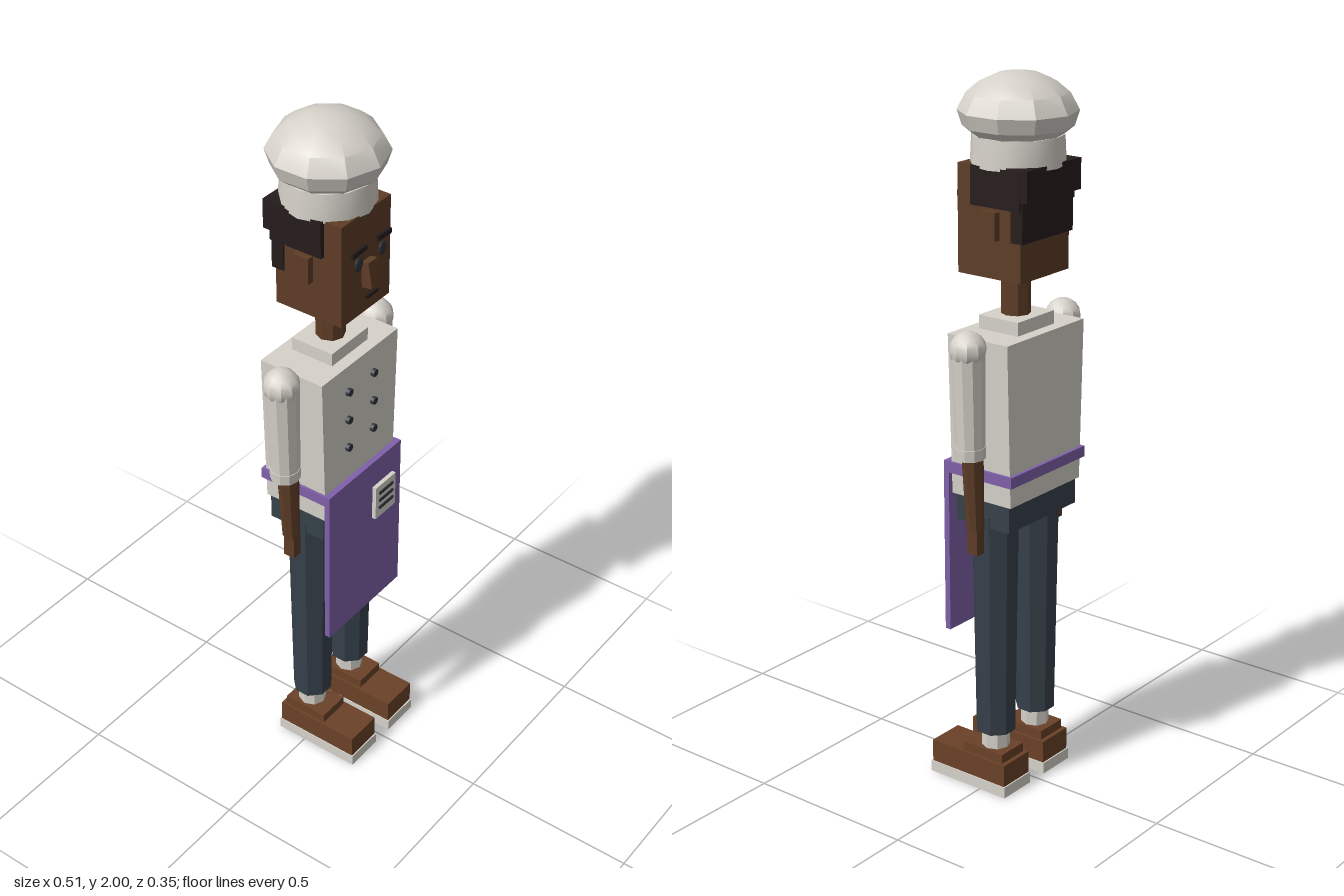
import * as THREE from 'three';
import { toCreasedNormals } from 'three/addons/utils/BufferGeometryUtils.js';

const mat = (name, color) => {
  const m = new THREE.MeshStandardMaterial({ color });
  m.name = name;
  return m;
};

export function createModel() {
  const model = new THREE.Group();
  model.name = 'chef';

  const white = mat('white cloth', 0xd6d2ca);
  const purple = mat('purple apron', 0x8060aa);
  const skin = mat('brown skin', 0x5e3d26);
  const leather = mat('brown leather', 0x6a4127);
  const navy = mat('slate trousers', 0x36414a);
  const black = mat('black hair', 0x261d1c);
  const dark = mat('dark grey', 0x2d3238);

  const add = (name, geometry, material, parent = model) => {
    const mesh = new THREE.Mesh(geometry, material);
    mesh.name = name;
    parent.add(mesh);
    return mesh;
  };
  // Box given by its limits on each axis
  const box = (name, material, [x0, x1], [y0, y1], [z0, z1], parent) => {
    const mesh = add(name, new THREE.BoxGeometry(x1 - x0, y1 - y0, z1 - z0), material, parent);
    mesh.position.set((x0 + x1) / 2, (y0 + y1) / 2, (z0 + z1) / 2);
    return mesh;
  };
  // Faceted, tapered limb between two points
  const limb = (name, material, a, b, ra, rb, sides, parent) => {
    const top = new THREE.Vector3(...a), bottom = new THREE.Vector3(...b);
    const dir = top.clone().sub(bottom);
    const geo = toCreasedNormals(new THREE.CylinderGeometry(ra, rb, dir.length(), sides), 0.55);
    const mesh = add(name, geo, material, parent);
    mesh.position.copy(top).add(bottom).multiplyScalar(0.5);
    mesh.quaternion.setFromUnitVectors(new THREE.Vector3(0, 1, 0), dir.normalize());
    return mesh;
  };

  // Hat: puffed crown over a band
  const crown = [[0, 1.832], [0.11, 1.832], [0.145, 1.86], [0.158, 1.9], [0.134, 1.945],
    [0.1, 1.973], [0.055, 1.993], [0, 2]].map(([r, y]) => new THREE.Vector2(r, y));
  add('hatCrown', toCreasedNormals(new THREE.LatheGeometry(crown, 10), 0.5), white).position.z = -0.02;
  limb('hatBand', white, [0, 1.84, -0.02], [0, 1.762, -0.02], 0.122, 0.126, 12);

  // Head, ears and neck
  box('head', skin, [-0.103, 0.103], [1.475, 1.766], [-0.108, 0.098]);
  limb('neck', skin, [0, 1.48, -0.013], [0, 1.33, -0.013], 0.04, 0.04, 8);
  for (const s of [-1, 1]) {
    box('ear', skin, [s * 0.112 - 0.012, s * 0.112 + 0.012], [1.58, 1.655], [-0.04, 0.01]);
    box('sideHair', black, [s * 0.109 - 0.008, s * 0.109 + 0.008], [1.665, 1.768], [-0.115, 0.045]);
  }
  // Hair at the back of the head
  box('upperBackHair', black, [-0.115, 0.115], [1.69, 1.773], [-0.137, -0.07]);
  box('lowerBackHair', black, [-0.108, 0.108], [1.58, 1.7], [-0.117, -0.08]);

  // Face, standing a little proud of the head
  for (const s of [-1, 1]) {
    const brow = box('eyebrow', black, [s * 0.052 - 0.029, s * 0.052 + 0.029], [1.673, 1.688], [0.109, 0.118]);
    brow.rotation.z = -s * 0.04;
    const eye = add('eye', new THREE.SphereGeometry(0.02, 12, 8), dark);
    eye.scale.set(0.8, 1, 0.25);
    eye.position.set(s * 0.05, 1.641, 0.112);
  }
  const nose = box('nose', skin, [-0.019, 0.019], [1.557, 1.63], [0.095, 0.125]);
  nose.rotation.x = -0.15;
  box('mouth', black, [-0.024, 0.024], [1.529, 1.539], [0.112, 0.12]);

  // Jacket, slightly narrower at the hem
  box('collar', white, [-0.078, 0.078], [1.32, 1.362], [-0.08, 0.05]);
  const torso = box('jacket', white, [-0.166, 0.166], [0.875, 1.325], [-0.114, 0.084]);
  const p = torso.geometry.attributes.position;
  for (let i = 0; i < p.count; i++) if (p.getY(i) < 0) p.setX(i, p.getX(i) * 0.92);
  torso.geometry.computeVertexNormals();
  for (const x of [-0.055, 0.055]) {
    for (const y of [1.067, 1.157, 1.247]) {
      const button = add('button', new THREE.CylinderGeometry(0.011, 0.011, 0.014, 8), dark);
      button.rotation.x = Math.PI / 2;
      button.position.set(x, y, 0.088);
    }
  }

  // Apron with its waist strap
  box('apron', purple, [-0.163, 0.163], [0.473, 0.967], [0.088, 0.105]);
  box('apronStrapBack', purple, [-0.163, 0.163], [0.935, 0.966], [-0.124, -0.112]);
  for (const s of [-1, 1]) {
    box('apronStrapSide', purple, [s * 0.157 - 0.006, s * 0.157 + 0.006], [0.935, 0.966], [-0.12, 0.09]);
  }
  // Badge with plain stripes
  box('badge', white, [0.032, 0.124], [0.777, 0.884], [0.104, 0.117]);
  for (const y of [0.81, 0.835, 0.86]) box('badgeStripe', dark, [0.046, 0.11], [y - 0.004, y + 0.004], [0.115, 0.121]);

  // Trousers
  box('hips', navy, [-0.148, 0.148], [0.8, 0.876], [-0.105, 0.074]);

  for (const s of [-1, 1]) {
    // Leg, sock and shoe
    const leg = new THREE.Group();
    leg.name = s > 0 ? 'leftLeg' : 'rightLeg';
    leg.position.x = s * 0.09;
    model.add(leg);
    limb('trouserLeg', navy, [0, 0.83, -0.013], [0, 0.175, -0.013], 0.066, 0.056, 8, leg).rotation.y = Math.PI / 8;
    limb('sock', white, [0, 0.19, -0.013], [0, 0.11, -0.013], 0.04, 0.04, 8, leg);
    box('shoeCollar', leather, [-0.048, 0.048], [0.09, 0.125], [-0.072, 0.064], leg);
    box('shoeUpper', leather, [-0.056, 0.056], [0.03, 0.098], [-0.085, 0.172], leg);
    box('shoeSole', white, [-0.059, 0.059], [0, 0.033], [-0.089, 0.176], leg);

    // Arm: shoulder, sleeve, cuff, forearm and hand
    const arm = new THREE.Group();
    arm.name = s > 0 ? 'leftArm' : 'rightArm';
    model.add(arm);
    const shoulder = add('shoulder', toCreasedNormals(new THREE.SphereGeometry(0.05, 10, 8), 0.6), white, arm);
    shoulder.position.set(s * 0.205, 1.308, -0.016);
    limb('sleeve', white, [s * 0.205, 1.308, -0.015], [s * 0.197, 1.03, -0.015], 0.046, 0.04, 10, arm);
    limb('cuff', white, [s * 0.198, 1.042, -0.015], [s * 0.197, 1.01, -0.015], 0.042, 0.041, 10, arm);
    limb('forearm', skin, [s * 0.188, 1.03, -0.014], [s * 0.177, 0.8, -0.014], 0.03, 0.024, 8, arm);
    box('hand', skin, [s * 0.175 - 0.015, s * 0.175 + 0.015], [0.73, 0.81], [-0.03, 0.004], arm);
  }
  return model;
}
